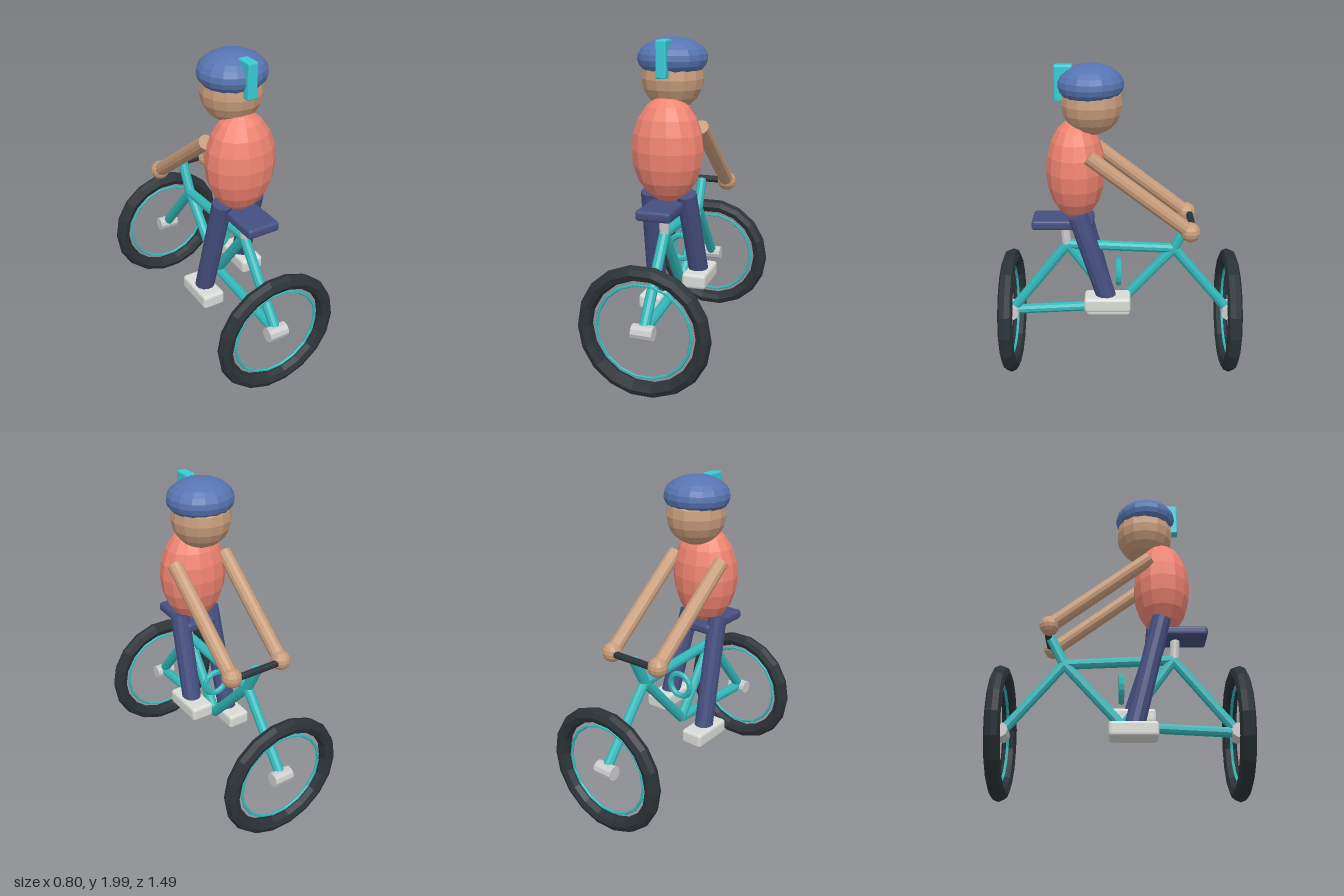
import * as THREE from 'three';
import { RoundedBoxGeometry } from 'three/addons/geometries/RoundedBoxGeometry.js';

const mat = (color) => new THREE.MeshStandardMaterial({ color, flatShading: true });
const TEAL = mat(0x33b8ba), TYRE = mat(0x2b3237), METAL = mat(0xcccccc), SHOE = mat(0xd9dbd6);
const NAVY = mat(0x454f80), SKIN = mat(0xc79c7a), SHIRT = mat(0xf08472), HELMET = mat(0x5775b2);
const CREST = mat(0x38cbd6);
HELMET.side = THREE.DoubleSide;

export function createModel() {
  const model = new THREE.Group();
  model.name = 'cyclist';

  const add = (name, geometry, material, x = 0, y = 0, z = 0, parent = model) => {
    const mesh = new THREE.Mesh(geometry, material);
    mesh.name = name;
    mesh.position.set(x, y, z);
    parent.add(mesh);
    return mesh;
  };

  // Straight round bar between two points
  const bar = (name, a, b, radius, material, sides = 10) => {
    const from = new THREE.Vector3(...a), to = new THREE.Vector3(...b);
    const dir = to.clone().sub(from);
    const mesh = add(name, new THREE.CylinderGeometry(radius, radius, dir.length(), sides), material);
    mesh.position.copy(from).add(to).multiplyScalar(0.5);
    mesh.quaternion.setFromUnitVectors(new THREE.Vector3(0, 1, 0), dir.normalize());
    return mesh;
  };

  // Wheels, set across the frame, with hubs lying along x
  for (const [name, z] of [['rearWheel', 0.7], ['frontWheel', -0.7]]) {
    const wheel = new THREE.Group();
    wheel.name = name;
    wheel.position.set(0, 0.403, z);
    model.add(wheel);
    add('tyre', new THREE.TorusGeometry(0.355, 0.046, 8, 18), TYRE, 0, 0, 0, wheel);
    add('rim', new THREE.TorusGeometry(0.284, 0.009, 6, 18), TEAL, 0, 0, 0, wheel);
    const hub = add('hub', new THREE.CylinderGeometry(0.045, 0.045, 0.128, 10), METAL, 0, 0, 0, wheel);
    hub.rotation.z = Math.PI / 2;
  }

  // Frame tubes
  const rearHub = [0, 0.405, 0.7], frontHub = [0, 0.405, -0.7];
  const crank = [0, 0.44, 0.02], seatJoint = [0, 0.87, 0.33], headJoint = [0, 0.84, -0.34];
  const stemTop = [0, 1.02, -0.43];
  const tubes = {
    topTube: [seatJoint, headJoint], downTube: [crank, headJoint], seatTube: [crank, seatJoint],
    chainStay: [rearHub, crank], seatStay: [rearHub, seatJoint],
    fork: [headJoint, frontHub], stem: [headJoint, stemTop],
  };
  for (const [name, [a, b]] of Object.entries(tubes)) bar(name, a, b, 0.032, TEAL);
  add('chainRing', new THREE.TorusGeometry(0.077, 0.019, 6, 16), TEAL, 0, 0.68, 0.01);

  // Saddle and handlebar
  bar('seatPost', [0, 0.87, 0.335], [0, 1.02, 0.345], 0.029, METAL);
  add('saddle', new RoundedBoxGeometry(0.21, 0.062, 0.38, 2, 0.02), NAVY, 0, 1.03, 0.352);
  bar('handlebar', [-0.18, 1.02, -0.443], [0.18, 1.02, -0.443], 0.022, TYRE);

  // Torso and head
  add('torso', new THREE.SphereGeometry(1, 14, 10), SHIRT, 0, 1.365, 0.268).scale.set(0.215, 0.312, 0.18);
  add('head', new THREE.SphereGeometry(0.183, 14, 10), SKIN, 0, 1.765, 0.165);
  const helmet = new THREE.SphereGeometry(1, 16, 8, 0, Math.PI * 2, 0, Math.PI * 0.69);
  add('helmet', helmet, HELMET, 0, 1.88, 0.172).scale.set(0.205, 0.12, 0.197);
  add('helmetCrest', new RoundedBoxGeometry(0.062, 0.212, 0.108, 1, 0.008), CREST, 0, 1.887, 0.33);

  // Limbs, with the left foot raised
  for (const [side, s, footY] of [['left', 1, 0.538], ['right', -1, 0.363]]) {
    bar(side + 'Arm', [s * 0.176, 1.49, 0.185], [s * 0.175, 1.02, -0.425], 0.045, SKIN, 12);
    add(side + 'Hand', new THREE.SphereGeometry(0.061, 12, 8), SKIN, s * 0.175, 1.02, -0.425);
    bar(side + 'Leg', [s * 0.11, 1.1, 0.255], [s * 0.138, footY, 0.075], 0.061, NAVY, 12);
    add(side + 'Shoe', new RoundedBoxGeometry(0.148, 0.094, 0.288, 2, 0.02), SHOE, s * 0.142, footY, 0.078);
  }
  return model;
}
